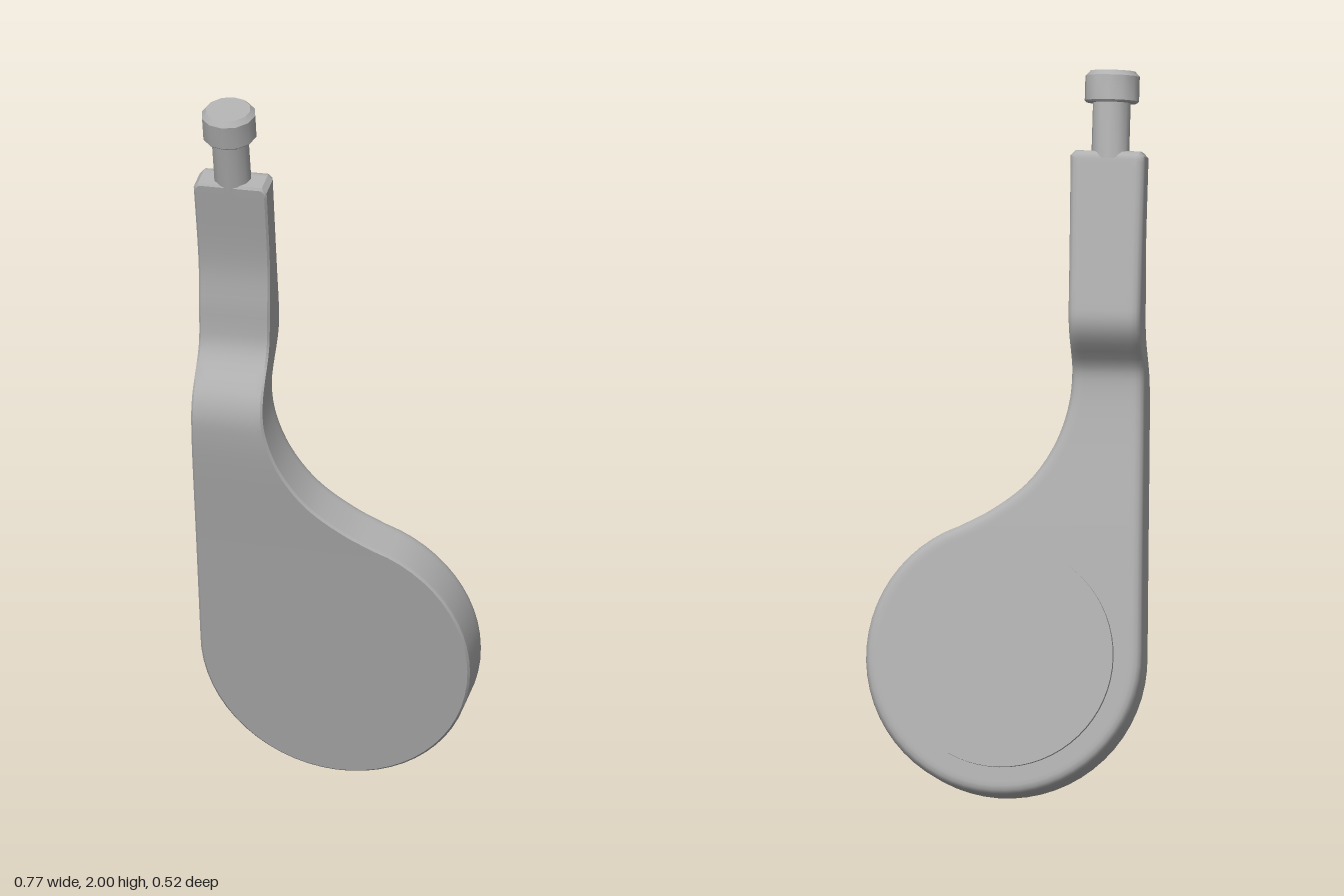
import * as THREE from 'three';
import { mergeVertices, toCreasedNormals } from 'three/addons/utils/BufferGeometryUtils.js';

const DISC_R = 0.38;
const CREASE = 0.6;

// smooth curve through a few [x, y] points
const smooth = (pts, n) =>
  new THREE.CatmullRomCurve3(pts.map(([x, y]) => new THREE.Vector3(x, y, 0))).getSpacedPoints(n);

// piecewise linear lookup of y at x in a sampled curve
function lookup(curve, x) {
  let i = 1;
  while (i < curve.length - 1 && curve[i].x < x) i++;
  const a = curve[i - 1], b = curve[i];
  const t = THREE.MathUtils.clamp((x - a.x) / (b.x - a.x), 0, 1);
  return a.y + (b.y - a.y) * t;
}

// depth of the front and back faces along the height
const frontDepth = smooth([[-0.5, 0], [0.3, 0], [0.67, 0], [0.74, -0.01], [0.79, -0.035], [0.83, -0.075],
  [0.866, -0.113], [0.9, -0.135], [0.945, -0.147], [1.0, -0.157], [1.12, -0.18], [1.4, -0.183]], 400);
const backDepth = smooth([[-0.5, -0.15], [0.3, -0.15], [0.74, -0.15], [0.79, -0.163], [0.82, -0.192], [0.85, -0.23],
  [0.885, -0.263], [0.92, -0.278], [0.96, -0.28], [1.1, -0.28], [1.4, -0.28]], 400);

// rows of the outline, from the bottom of the disc to the top of the neck
function outlineRows() {
  const leftAt = v => (v < 0
    ? -Math.sqrt(DISC_R ** 2 - v * v)
    : -0.38 + 0.014 * Math.min(v / 0.7, 1));
  const rows = [];
  for (let deg = -87; deg < 69; deg += 6) {
    const a = THREE.MathUtils.degToRad(deg);
    const v = DISC_R * Math.sin(a);
    rows.push({ v, left: leftAt(v), right: DISC_R * Math.cos(a) });
  }
  const edge = smooth([[0.13, 0.357], [0.05, 0.4], [-0.05, 0.478], [-0.12, 0.58], [-0.157, 0.69],
    [-0.167, 0.8], [-0.166, 1.0], [-0.16, 1.368]], 64);
  for (const p of edge) rows.push({ v: p.y, left: leftAt(p.y), right: p.x });
  rows.push({ v: 1.382, left: -0.353, right: -0.173 });
  return rows;
}

// slab with a shaped outline, bent in depth, with a fine front edge and a rounded back edge
function bentSlab() {
  const rows = outlineRows(), n = rows.length;
  const loop = [
    ...rows.map(r => new THREE.Vector2(r.right, r.v)),
    ...rows.map(r => new THREE.Vector2(r.left, r.v)).reverse(),
  ];
  const m = loop.length;

  // outward direction at each outline point
  const out = loop.map((p, j) => {
    const d0 = p.clone().sub(loop[(j + m - 1) % m]).normalize();
    const d1 = loop[(j + 1) % m].clone().sub(p).normalize();
    const d = d0.clone().add(d1).normalize();
    return new THREE.Vector2(d.y, -d.x).divideScalar(Math.max(d.dot(d1), 0.6));
  });

  // layers from front to back: inset, distance from a face, and which face
  const f = 0.006, r = 0.024;
  const layers = [[0.026, 0, 0], [f, 0, 0], [0, f, 0], [0, f + 0.012, 0], [0, r + 0.012, 1]];
  for (let k = 0; k <= 3; k++) {
    const a = k * Math.PI / 6;
    layers.push([r * (1 - Math.cos(a)), r * (1 - Math.sin(a)), 1]);
  }
  layers.push([r + 0.012, 0, 1]);

  const pos = [], index = [];
  for (const [inset, dist, back] of layers) {
    loop.forEach((p, j) => {
      const u = p.x - out[j].x * inset, v = p.y - out[j].y * inset;
      pos.push(u, v, back ? lookup(backDepth, v) + dist : lookup(frontDepth, v) - dist);
    });
  }
  const quad = (a, b, c, d) => index.push(a, b, c, a, c, d);
  for (let k = 0; k < layers.length - 1; k++) {
    for (let j = 0; j < m; j++) {
      const j1 = (j + 1) % m, a = k * m, b = a + m;
      quad(a + j, b + j, b + j1, a + j1);
    }
  }
  // front and back faces as strips between the two sides
  const last = (layers.length - 1) * m;
  for (let i = 0; i < n - 1; i++) {
    const L = m - 1 - i;
    quad(L, i, i + 1, L - 1);
    quad(last + i, last + L, last + L - 1, last + i + 1);
  }
  const g = new THREE.BufferGeometry();
  g.setAttribute('position', new THREE.Float32BufferAttribute(pos, 3));
  g.setIndex(index);
  return toCreasedNormals(g, CREASE);
}

// turned part from [radius, height] points
function turned(points, sides) {
  const g = new THREE.LatheGeometry(points.map(([x, y]) => new THREE.Vector2(x, y)), sides);
  g.deleteAttribute('normal');
  g.deleteAttribute('uv');
  return toCreasedNormals(mergeVertices(g), CREASE);
}

export function createModel() {
  const metal = new THREE.MeshStandardMaterial({ color: 0xb0b0b0 });
  metal.name = 'grey metal';

  const model = new THREE.Group();
  model.name = 'paddleLever';
  const add = (name, geometry) => {
    const mesh = new THREE.Mesh(geometry, metal);
    mesh.name = name;
    model.add(mesh);
    return mesh;
  };

  add('paddleBody', bentSlab());

  // round raised plate on the back of the disc
  const plate = add('backPlate', new THREE.CylinderGeometry(0.305, 0.305, 0.026, 64));
  plate.rotation.x = Math.PI / 2;
  plate.position.z = -0.157;

  // pin with a wider head on top of the neck
  const pin = new THREE.Group();
  pin.name = 'pin';
  pin.position.set(-0.266, 0, -0.232);
  pin.add(
    add('pinStem', turned([[0, 1.36], [0.052, 1.36], [0.052, 1.53], [0, 1.53]], 12)),
    add('pinHead', turned([[0, 1.515], [0.07, 1.515], [0.075, 1.52], [0.075, 1.588], [0.062, 1.602], [0, 1.602]], 12)),
  );
  model.add(pin);

  // lean forward and turn
  const tilt = THREE.MathUtils.degToRad(13);
  model.rotation.set(tilt, tilt, 0, 'YXZ');
  model.position.set(0.014, 0.37, 0);

  const root = new THREE.Group();
  root.name = 'model';
  root.add(model);
  return root;
}
